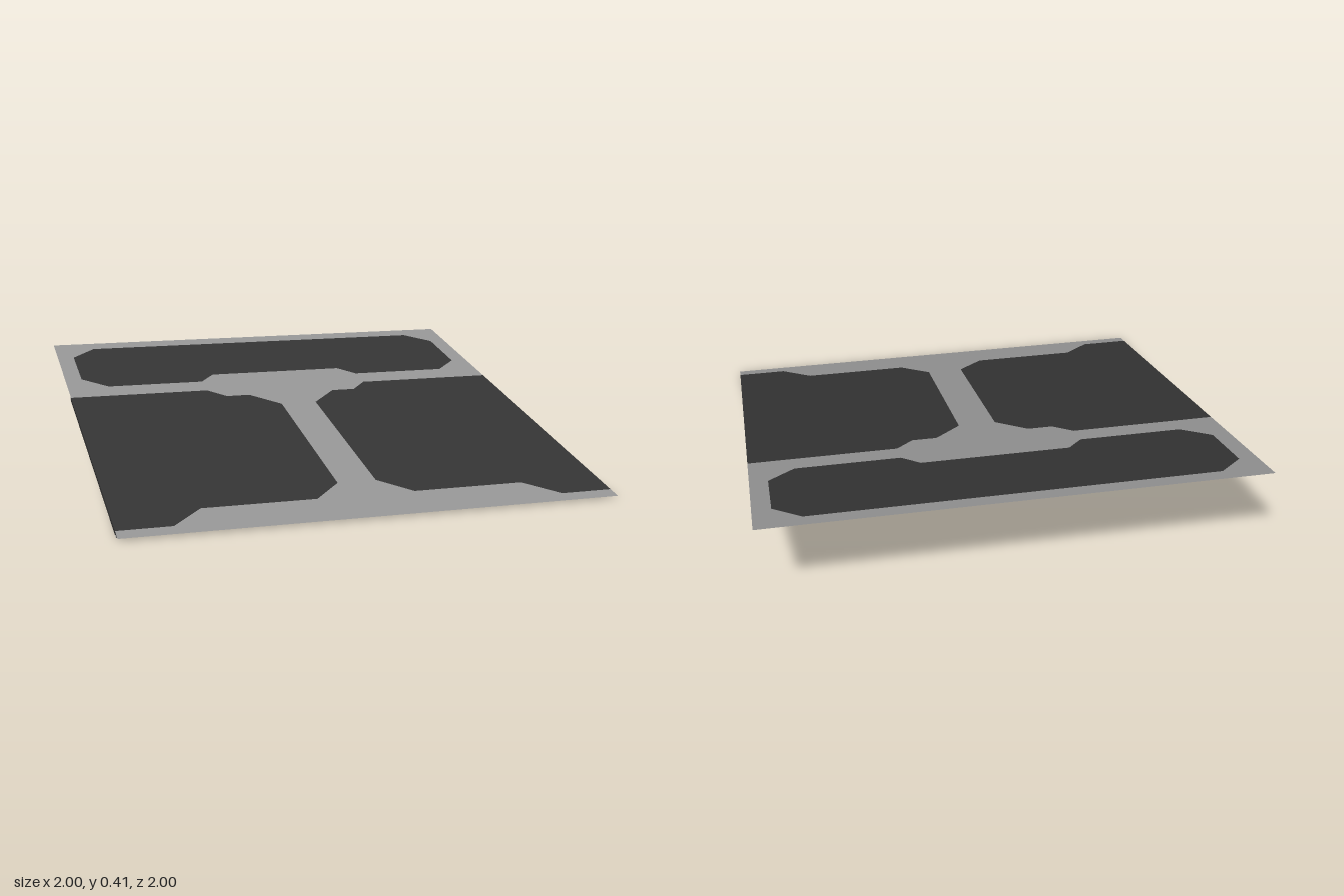
import * as THREE from 'three';

const SLOPE = Math.atan(0.1985);
const STRETCH = 1 / Math.cos(SLOPE); // ground length to length along the slope

// Plan positions [x, z] become points on the sloped sheet
const toSheet = (pts) => pts.map(([x, z]) => new THREE.Vector2(x, -z * STRETCH));
const mirror = (pts) => pts.map(([x, z]) => [-x, z]).reverse();

// Flat-shaded geometry from triangle corners
function facets(corners) {
  const g = new THREE.BufferGeometry().setFromPoints(corners);
  g.computeVertexNormals();
  return g;
}

function quad(out, a, b, c, d) {
  out.push(a, b, c, a, c, d);
}

// Bevelled strip that follows an outline; profile holds [offset outward, depth below]
function ridge(pts, closed, profile) {
  const n = pts.length;
  const normal = (a, b) => new THREE.Vector2(b.y - a.y, a.x - b.x).normalize();
  const sign = THREE.ShapeUtils.area(pts) > 0 ? 1 : -1;
  const loops = pts.map((p, i) => {
    const hasPrev = closed || i > 0, hasNext = closed || i < n - 1;
    const n1 = hasPrev ? normal(pts[(i + n - 1) % n], p) : normal(p, pts[i + 1]);
    const n2 = hasNext ? normal(p, pts[(i + 1) % n]) : n1;
    const m = n1.clone().add(n2).divideScalar(1 + n1.dot(n2)).multiplyScalar(sign);
    return profile.map(([o, d]) => new THREE.Vector3(p.x + m.x * o, p.y + m.y * o, -d));
  });
  const out = [];
  for (let i = 0; i < (closed ? n : n - 1); i++) {
    const a = loops[i], b = loops[(i + 1) % n];
    for (let k = 0; k < profile.length - 1; k++) {
      if (sign > 0) quad(out, a[k], a[k + 1], b[k + 1], b[k]);
      else quad(out, a[k], b[k], b[k + 1], a[k + 1]);
    }
  }
  return facets(out);
}

function inside(p, poly) {
  let hit = false;
  for (let i = 0, j = poly.length - 1; i < poly.length; j = i++) {
    const a = poly[i], b = poly[j];
    if ((a.y > p.y) !== (b.y > p.y) && p.x < ((b.x - a.x) * (p.y - a.y)) / (b.y - a.y) + a.x) hit = !hit;
  }
  return hit;
}

// Honeycomb of bevelled hexagons, trimmed to the panel bounds
function honeycomb(poly, radius) {
  const box = new THREE.Box2().setFromPoints(poly);
  const out = [];
  const stepX = radius * 1.5, stepY = radius * Math.sqrt(3);
  for (let col = 0; col * stepX < 1; col++) {
    for (let row = 0; row < 14; row++) {
      const side = Math.sign(box.min.x + box.max.x);
      const c = new THREE.Vector2(side * (0.15 + col * stepX), box.min.y + (row + (col % 2) / 2) * stepY);
      if (!inside(c, poly)) continue;
      const loop = (r, d) => Array.from({ length: 6 }, (_, i) => {
        const p = new THREE.Vector2(Math.cos(i * Math.PI / 3), Math.sin(i * Math.PI / 3)).multiplyScalar(r).add(c);
        box.clampPoint(p, p);
        return new THREE.Vector3(p.x, p.y, -d);
      });
      const base = loop(radius * 0.96, 0.003), top = loop(radius * 0.7, 0.016);
      for (let i = 0; i < 6; i++) {
        const j = (i + 1) % 6;
        quad(out, base[i], top[i], top[j], base[j]);
        out.push(new THREE.Vector3(c.x, c.y, -0.016), top[j], top[i]);
      }
    }
  }
  return facets(out);
}

// Bar outline with cut corners, centred at x, z
function bar(x, z, w, h, cut) {
  const a = w / 2, b = h / 2;
  return toSheet([[-a, b - cut], [-a + cut, b], [a - cut, b], [a, b - cut],
    [a, -b + cut], [a - cut, -b], [-a + cut, -b], [-a, -b + cut]].map(([u, v]) => [x + u, z + v]));
}

export function createModel() {
  const root = new THREE.Group();
  root.name = 'slopedPanel';
  const sheet = new THREE.Group();
  sheet.name = 'slopedSheet';
  sheet.rotation.x = SLOPE - Math.PI / 2;
  sheet.position.y = 0.207;
  root.add(sheet);

  const frameGrey = new THREE.MeshStandardMaterial({ color: 0x959595, side: THREE.DoubleSide });
  frameGrey.name = 'frameGrey';
  const panelDark = new THREE.MeshStandardMaterial({ color: 0x343434, side: THREE.DoubleSide });
  panelDark.name = 'panelDark';
  const add = (name, geometry, material) => {
    const mesh = new THREE.Mesh(geometry, material);
    mesh.name = name;
    sheet.add(mesh);
  };

  // Outlines in plan
  const lower = [[1, -0.32], [0.38, -0.32], [0.305, -0.24], [0.2, -0.24], [0.08, -0.115],
    [0.08, 0.7], [0.2, 0.82], [0.66, 0.82], [0.785, 0.94], [1, 0.94]];
  const upperHalf = [[0.31, -0.51], [0.38, -0.43], [0.815, -0.43], [0.925, -0.535], [0.925, -0.82], [0.815, -0.925]];
  const upper = toSheet([...upperHalf, ...mirror(upperHalf)]);

  // Frame sheet with open sides for the lower panels and a hole for the upper one
  const frame = new THREE.Shape(toSheet([[-1, -1], [1, -1], ...lower, [1, 1], [-1, 1], ...mirror(lower)]));
  frame.holes.push(new THREE.Path(upper));
  add('frame', new THREE.ShapeGeometry(frame), frameGrey);

  // Upper panel and its raised rim underneath
  const rim = [[0.028, 0], [0.022, 0.017], [0, 0.017], [-0.025, 0.001]];
  add('upperPanel', new THREE.ShapeGeometry(new THREE.Shape(upper)), panelDark);
  add('upperRim', ridge(upper, true, rim), frameGrey);

  // Lower panels with rims, honeycomb undersides and closed outer edges
  for (const [side, plan] of [['left', lower], ['right', mirror(lower)]]) {
    const poly = toSheet(plan);
    add(side + 'LowerPanel', new THREE.ShapeGeometry(new THREE.Shape(poly)), panelDark);
    add(side + 'LowerRim', ridge(poly, false, rim), frameGrey);
    add(side + 'Honeycomb', honeycomb(poly, 0.115), panelDark);
    const edge = new THREE.BoxGeometry(0.01, 1.26 * STRETCH, 0.016);
    edge.translate(side === 'left' ? 0.995 : -0.995, -0.31 * STRETCH, -0.009);
    add(side + 'OuterEdge', edge, panelDark);
  }

  // Vent below the centre junction: one outer ring and four slots
  const lip = [[0.01, 0], [0.006, 0.01], [-0.006, 0.01], [-0.01, 0]];
  add('ventRing', ridge(bar(0, -0.365, 0.66, 0.19, 0.06), true, lip), frameGrey);
  for (const x of [-0.14, 0.14]) {
    for (const z of [-0.4, -0.33]) {
      add('ventSlot', ridge(bar(x, z, 0.24, 0.05, 0.018), true, lip), frameGrey);
    }
  }
  return root;
}
